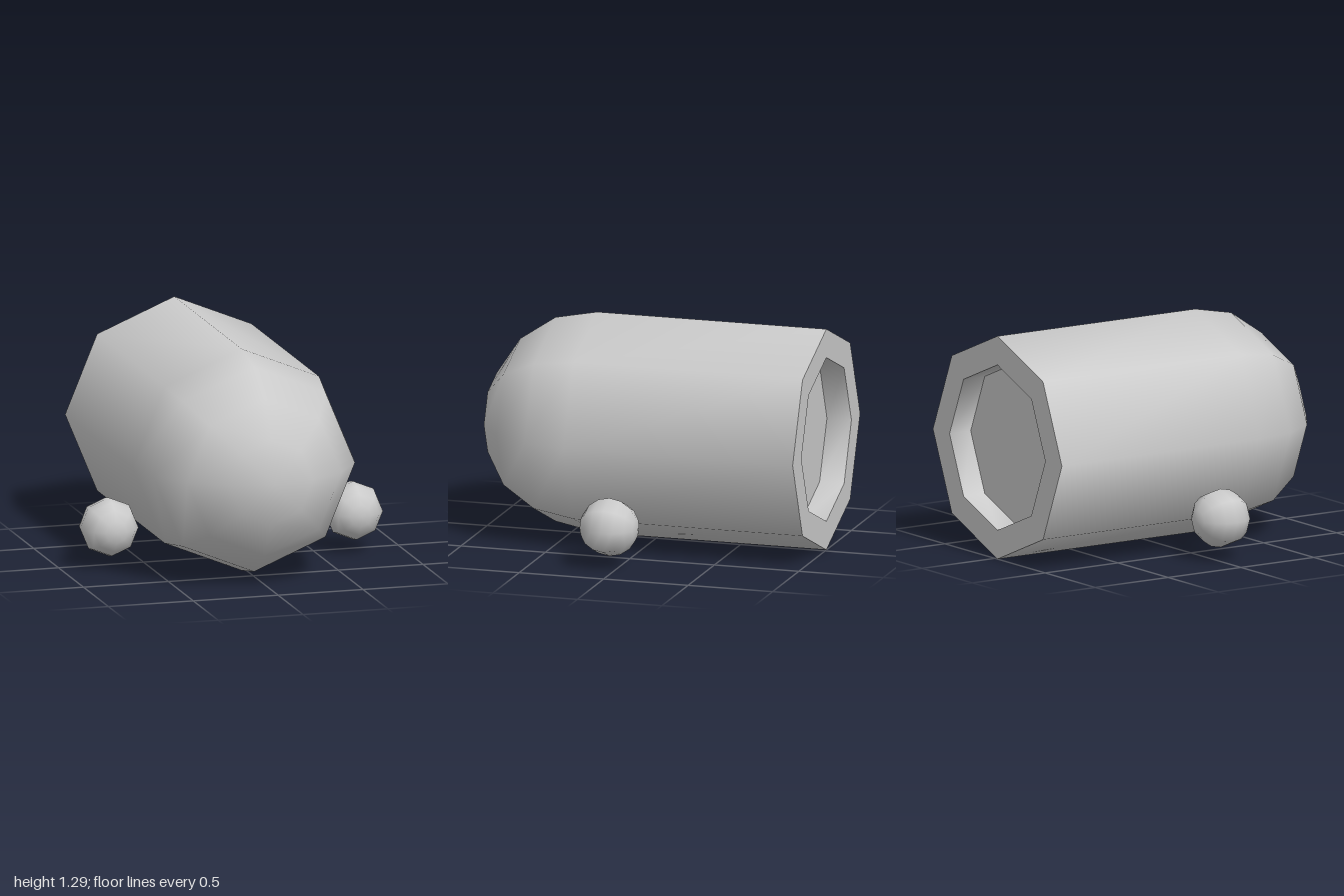
import * as THREE from 'three';
import { toCreasedNormals } from 'three/addons/utils/BufferGeometryUtils.js';

export function createModel() {
  const group = new THREE.Group();
  const material = new THREE.MeshStandardMaterial({ color: 0xcccccc });

  // Eight-sided capsule body along z: recessed flat back, domed nose
  const R = 0.643, rim = 0.477, back = -1, recess = -0.855, domeStart = 1 - R;
  const profile = [[0, recess], [rim, recess], [rim, back], [R, back]]
    .map(([r, z]) => new THREE.Vector2(r, z));
  for (let i = 0; i <= 4; i++) {
    const a = (i * Math.PI) / 8;
    profile.push(new THREE.Vector2(i === 4 ? 0 : R * Math.cos(a), domeStart + R * Math.sin(a)));
  }
  const bodyGeometry = toCreasedNormals(new THREE.LatheGeometry(profile, 8), 1);
  const body = new THREE.Mesh(bodyGeometry.rotateX(Math.PI / 2), material);
  body.name = 'body';
  body.position.set(-0.025, R, 0);
  group.add(body);

  // Small floating balls on each side, poles along z
  const ballGeometry = new THREE.SphereGeometry(0.169, 8, 8).rotateX(Math.PI / 2);
  for (const side of [1, -1]) {
    const ball = new THREE.Mesh(ballGeometry, material);
    ball.name = side > 0 ? 'leftBall' : 'rightBall';
    ball.position.set(side * 0.72, 0.232, 0.053);
    group.add(ball);
  }
  return group;
}
